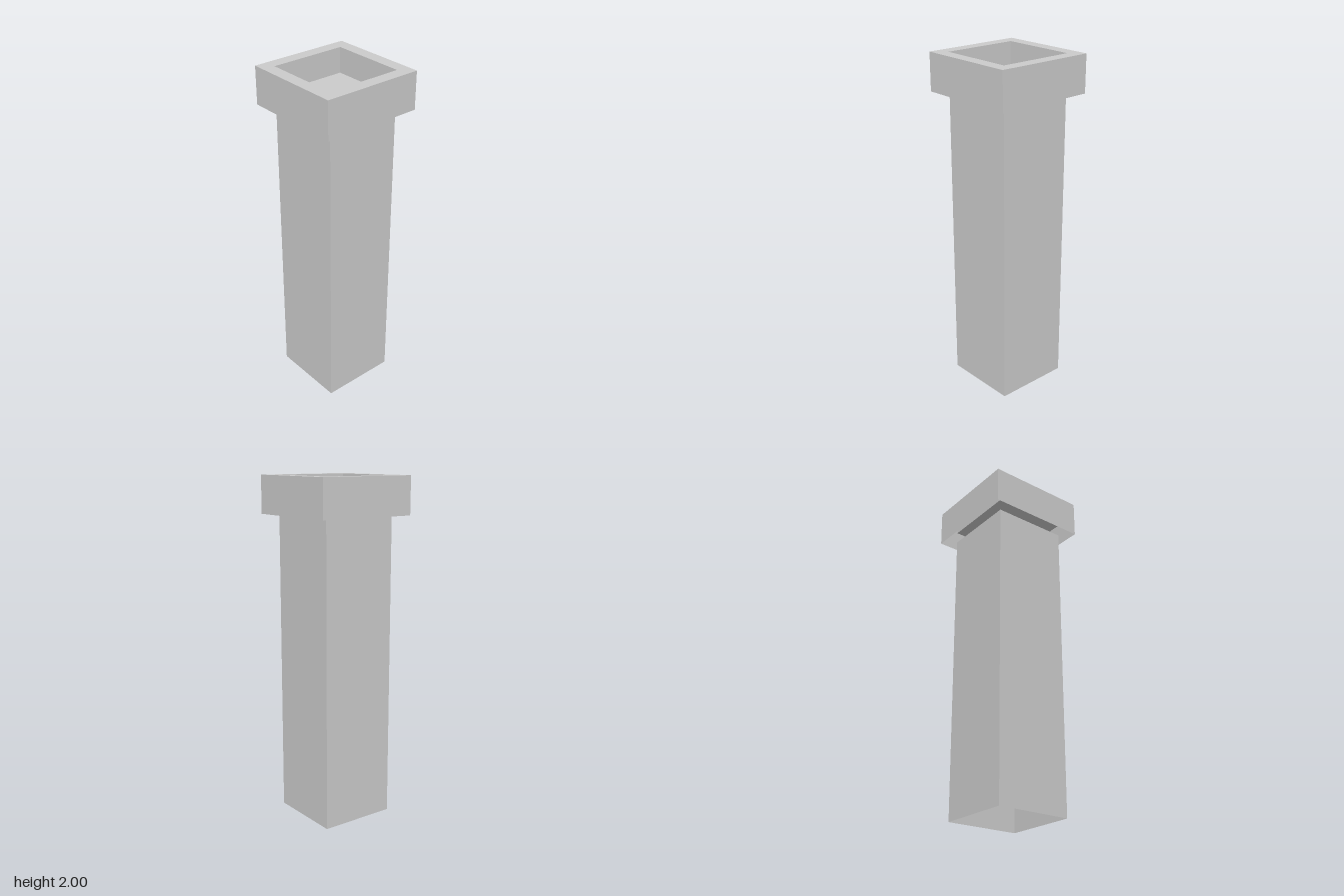
import * as THREE from 'three';

const material = new THREE.MeshStandardMaterial({
  color: 0xcccccc,
  flatShading: true,
  side: THREE.DoubleSide,
});

// Square shell from a profile of [half width, height] points
function squareShell(name, profile) {
  const points = profile.map(([half, y]) => new THREE.Vector2(half * Math.SQRT2, y));
  const mesh = new THREE.Mesh(new THREE.LatheGeometry(points, 4, Math.PI / 4), material);
  mesh.name = name;
  return mesh;
}

export function createModel() {
  const group = new THREE.Group();
  group.name = 'squarePipe';

  // Tall thin-walled shaft, open at both ends
  group.add(squareShell('shaft', [[0.227, 0], [0.227, 1.78]]));

  // Wider rim: outer wall, flat top, then recess wall and floor; open underneath
  group.add(squareShell('rim', [
    [0.3, 1.78], [0.3, 2], [0.227, 2], [0.227, 1.85], [0, 1.85],
  ]));

  return group;
}
